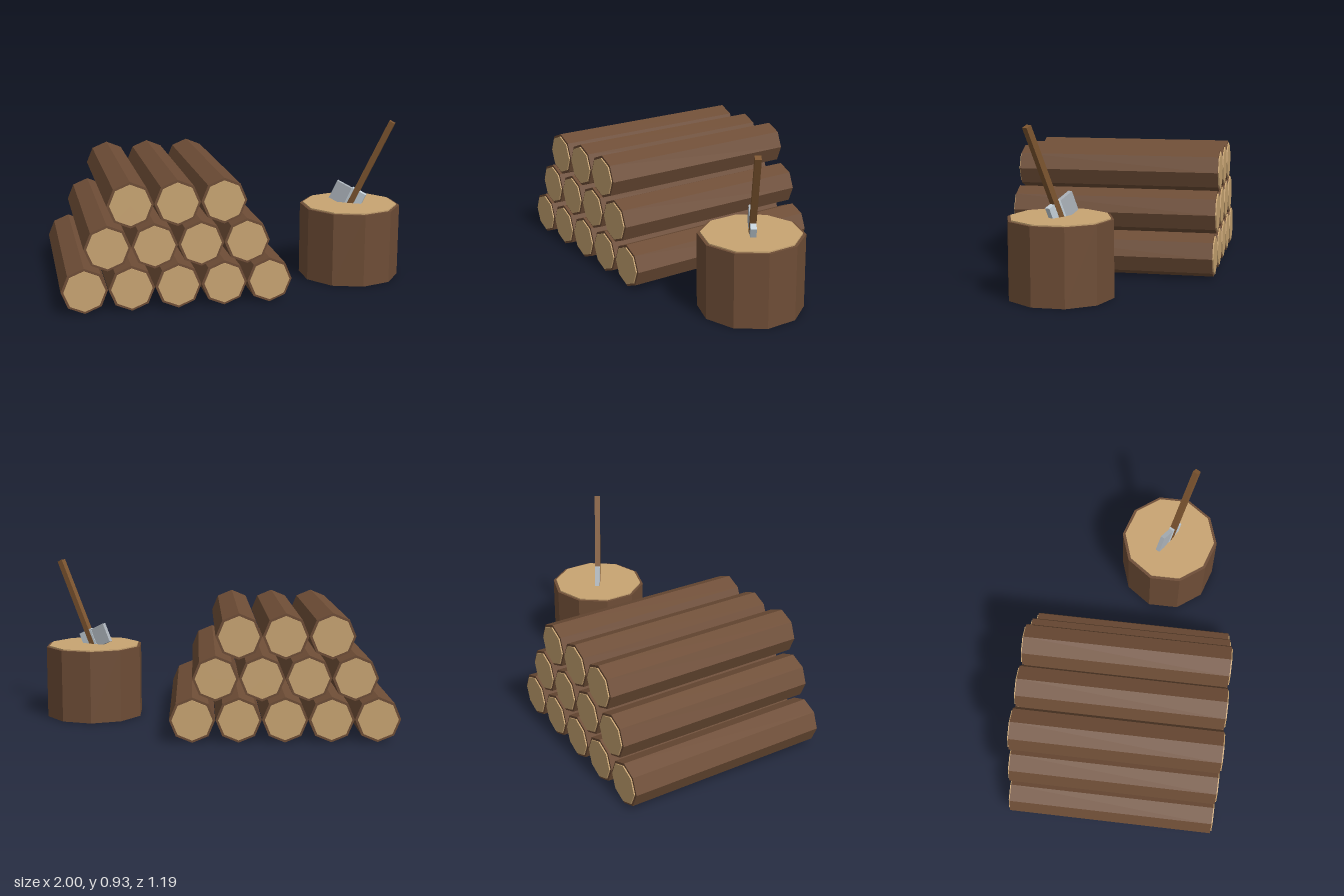
import * as THREE from 'three';

const mat = (name, color) => {
  const m = new THREE.MeshStandardMaterial({ color, flatShading: true });
  m.name = name;
  return m;
};

export function createModel() {
  const root = new THREE.Group();
  root.name = 'woodpileAndChoppingBlock';

  const bark = mat('bark', 0x6e4d36);
  const wood = mat('cutWood', 0xc8a472);
  const handleWood = mat('handleWood', 0x7d5530);
  const steel = mat('steel', 0xacb3ba);
  const paleSteel = mat('paleSteel', 0xc4d0d8);

  const add = (parent, name, geometry, material, x = 0, y = 0, z = 0) => {
    const mesh = new THREE.Mesh(geometry, material);
    mesh.name = name;
    mesh.position.set(x, y, z);
    parent.add(mesh);
    return mesh;
  };

  // Stacked logs: eight-sided, with a thin cut face on each end
  const R = 0.125, length = 1.18, pitch = 0.2515, rise = 0.2275, cap = 0.007;
  const logGeo = new THREE.CylinderGeometry(R, R, length, 8).rotateX(Math.PI / 2);
  const capGeo = new THREE.CylinderGeometry(0.111, 0.111, cap, 8).rotateX(Math.PI / 2);
  const pile = new THREE.Group();
  pile.name = 'logPile';
  root.add(pile);
  [5, 4, 3].forEach((count, row) => {
    for (let i = 0; i < count; i++) {
      const log = new THREE.Group();
      log.name = 'log';
      log.position.set(-0.875 + (i + row / 2) * pitch, R + row * rise, 0);
      add(log, 'logBark', logGeo, bark);
      for (const s of [-1, 1]) add(log, 'logCutEnd', capGeo, wood, 0, 0, s * (length + cap) / 2);
      pile.add(log);
    }
  });

  // Ten-sided chopping block
  const block = new THREE.Group();
  block.name = 'choppingBlock';
  block.position.set(0.72, 0, 0.165);
  add(block, 'blockBark', new THREE.CylinderGeometry(0.29, 0.29, 0.42, 10), bark, 0, 0.21, 0);
  add(block, 'blockCutTop', new THREE.CylinderGeometry(0.273, 0.273, 0.007, 10), wood, 0, 0.4235, 0);
  root.add(block);

  // Axe stuck in the block, leaning back along its own blade plane
  const axe = new THREE.Group();
  axe.name = 'axe';
  axe.position.set(0.725, 0.42, 0.165);
  axe.rotation.order = 'YXZ';
  axe.rotation.y = THREE.MathUtils.degToRad(-31);
  axe.rotation.z = THREE.MathUtils.degToRad(-25);
  add(axe, 'axeHandle', new THREE.BoxGeometry(0.034, 0.58, 0.034), handleWood, 0, 0.26, 0);
  add(axe, 'axeBlade', new THREE.BoxGeometry(0.105, 0.115, 0.026), steel, -0.075, 0.032, 0);
  add(axe, 'axePoll', new THREE.BoxGeometry(0.09, 0.105, 0.032), paleSteel, 0.014, 0.043, 0);
  root.add(axe);

  return root;
}
